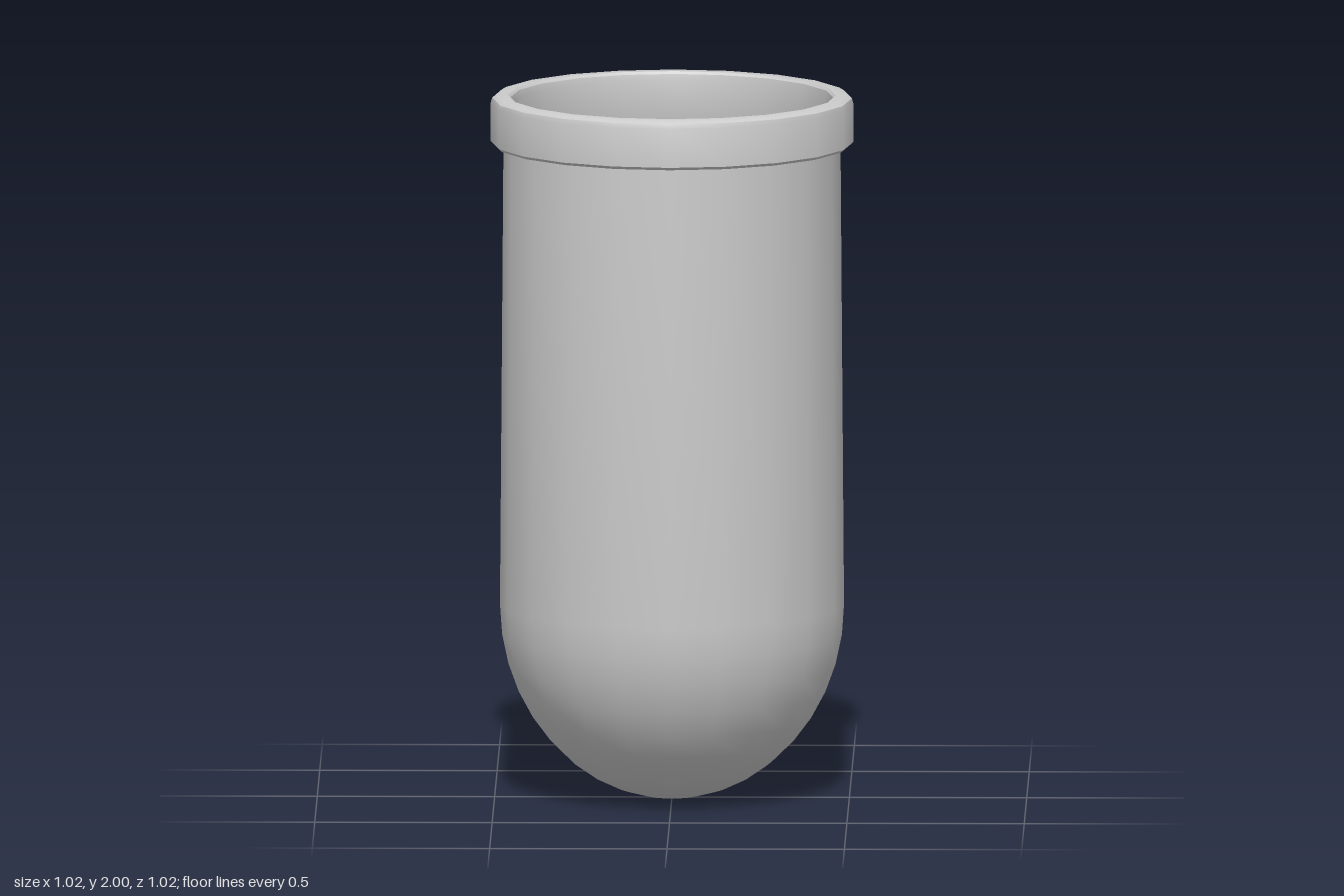
import * as THREE from 'three';
import { toCreasedNormals } from 'three/addons/utils/BufferGeometryUtils.js';

const SIDES = 20;

// Half-ellipse dome profile from the pole up to the widest ring
function domePoints(radius, bottom, top, steps = 10) {
  const points = [];
  for (let i = 0; i <= steps; i++) {
    const a = (i / steps) * Math.PI / 2;
    points.push(new THREE.Vector2(radius * Math.sin(a), top - (top - bottom) * Math.cos(a)));
  }
  return points;
}

function turned(name, points, material) {
  const geometry = toCreasedNormals(new THREE.LatheGeometry(points, SIDES), 0.6);
  const mesh = new THREE.Mesh(geometry, material);
  mesh.name = name;
  return mesh;
}

export function createModel() {
  const group = new THREE.Group();
  group.name = 'roundBottomTube';
  const material = new THREE.MeshStandardMaterial({ color: 0xcccccc, side: THREE.DoubleSide });

  // Outer wall: domed bottom, sides tapering very slightly upward
  const outer = domePoints(0.485, 0, 0.55);
  outer.push(new THREE.Vector2(0.475, 1.88));
  group.add(turned('outerWall', outer, material));

  // Inner wall, facing the hollow
  const inner = domePoints(0.467, 0.02, 0.55);
  inner.push(new THREE.Vector2(0.461, 1.84));
  group.add(turned('innerWall', inner.reverse(), material));

  // Rim collar with softened edges, running from its underside over the lip and into the mouth
  const rim = [
    [0.47, 1.86], [0.503, 1.86], [0.511, 1.868], [0.511, 1.978], [0.507, 1.992], [0.494, 2],
    [0.462, 2], [0.455, 1.993], [0.452, 1.975], [0.452, 1.875], [0.461, 1.84],
  ].map(([r, y]) => new THREE.Vector2(r, y));
  group.add(turned('rim', rim, material));

  return group;
}
